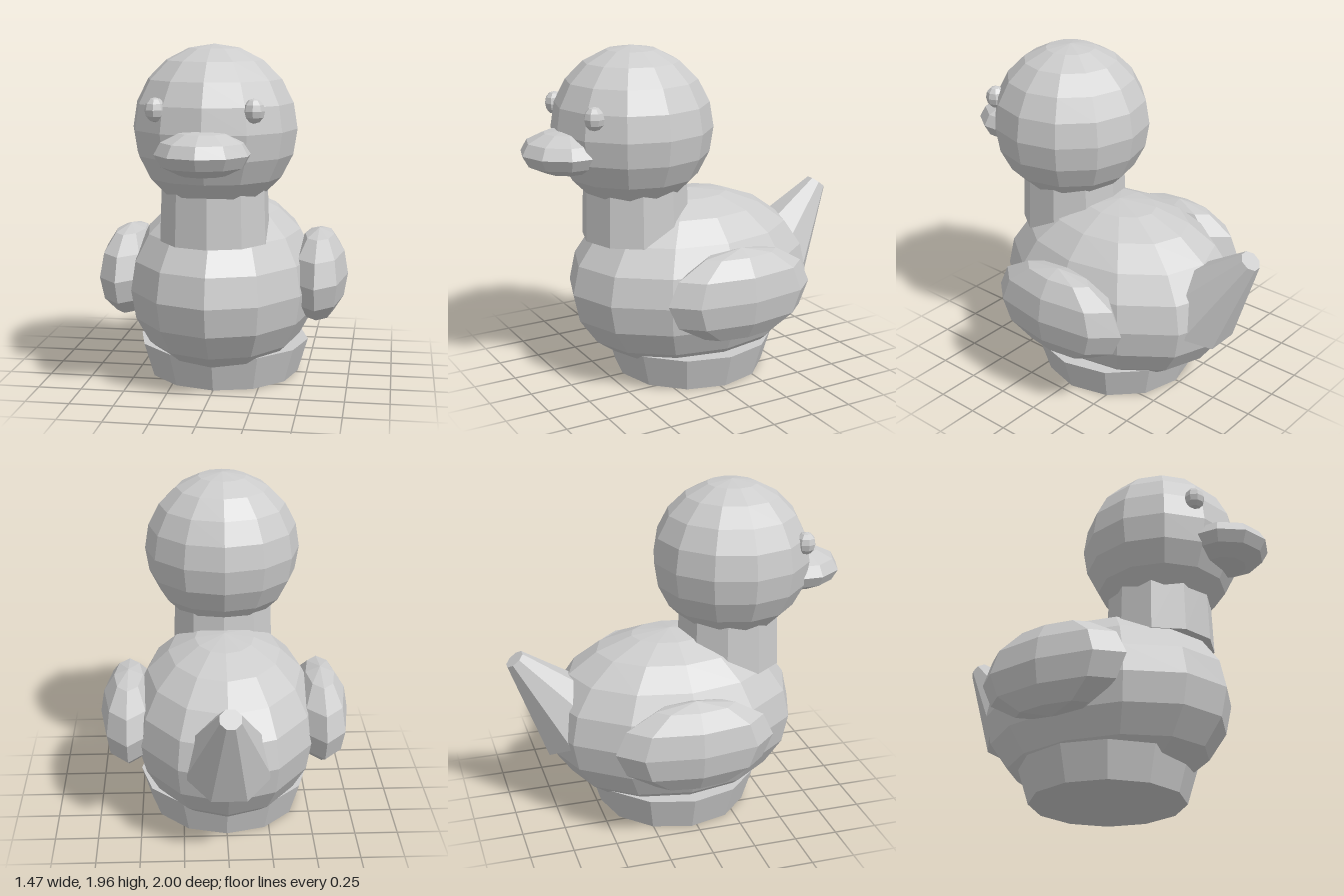
import * as THREE from 'three';

export function createModel() {
  const duck = new THREE.Group();
  duck.name = 'duck';
  const clay = new THREE.MeshStandardMaterial({ color: 0xcccccc, flatShading: true });
  clay.name = 'light grey';

  function add(name, geometry, x, y, z) {
    const mesh = new THREE.Mesh(geometry, clay);
    mesh.name = name;
    mesh.position.set(x, y, z);
    duck.add(mesh);
    return mesh;
  }

  // Faceted ellipsoid with a corner line facing the front
  function ellipsoid(rx, ry, rz, sides, rings) {
    return new THREE.SphereGeometry(1, sides, rings).rotateY(Math.PI / 2).scale(rx, ry, rz);
  }

  // Pedestal, body, neck and head
  add('base', new THREE.CylinderGeometry(0.505, 0.445, 0.2, 12), 0, 0.1, -0.03);
  add('body', ellipsoid(0.56, 0.54, 0.755, 12, 10), 0, 0.55, -0.035);
  add('neck', new THREE.CylinderGeometry(0.298, 0.312, 0.4, 10), 0, 1.06, 0.32);
  add('head', ellipsoid(0.46, 0.46, 0.46, 12, 10), 0, 1.495, 0.333);

  // Flat rounded beak
  add('beak', ellipsoid(0.26, 0.127, 0.268, 10, 6), 0, 1.397, 0.73);

  // Eyes and wings, mirrored
  for (const [side, s] of [['left', 1], ['right', -1]]) {
    add(side + 'Eye', ellipsoid(0.058, 0.066, 0.058, 8, 6), s * 0.262, 1.62, 0.688);
    add(side + 'Wing', ellipsoid(0.17, 0.27, 0.46, 8, 6), s * 0.565, 0.605, -0.05);
  }

  // Blunt tapering tail, leaning back
  const tail = new THREE.CylinderGeometry(0.062, 0.262, 0.56, 8).rotateY(Math.PI / 8);
  add('tail', tail, 0, 0.782, -0.78).rotation.x = -0.67;

  return duck;
}
